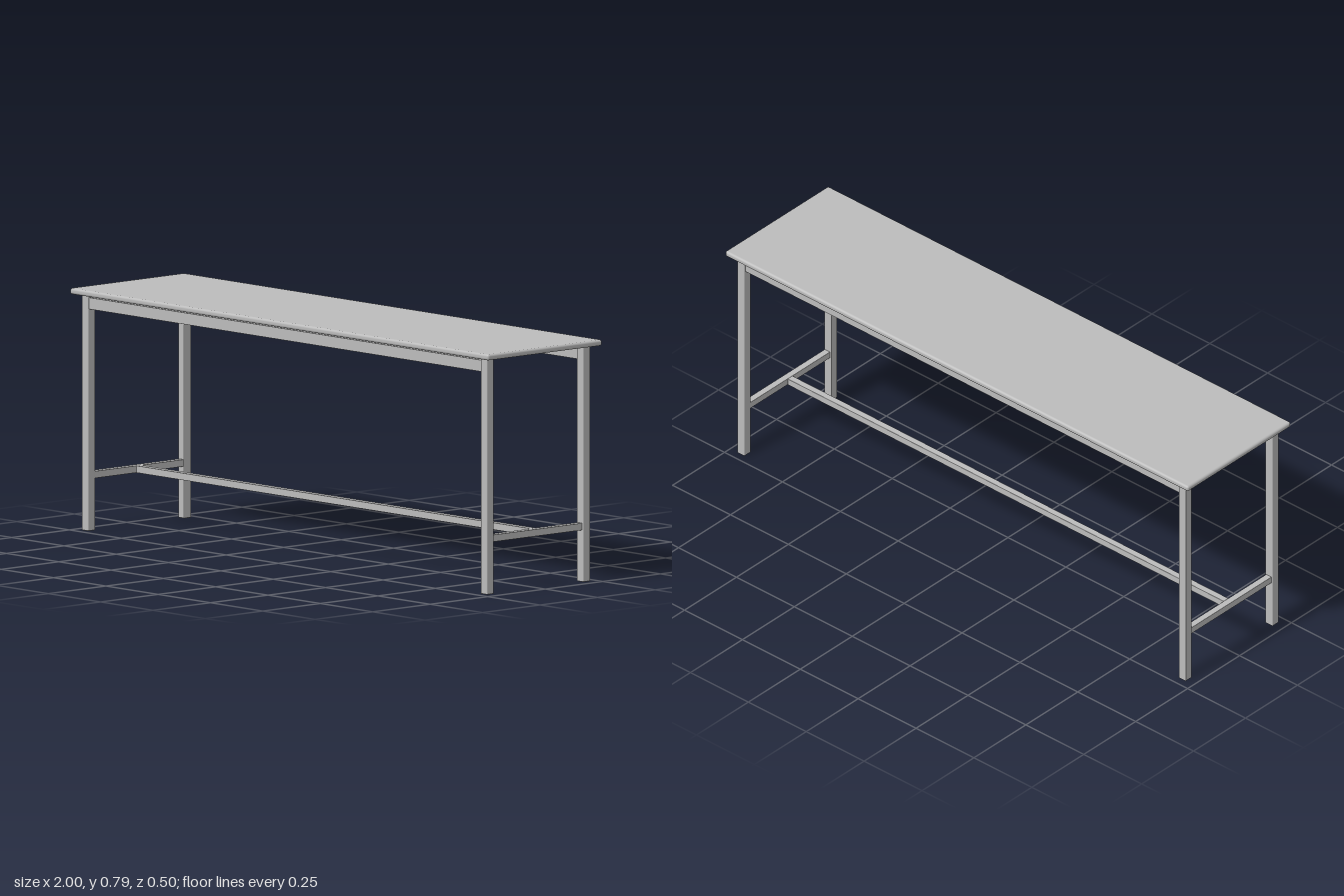
import * as THREE from 'three';
import { RoundedBoxGeometry } from 'three/addons/geometries/RoundedBoxGeometry.js';

export function createModel() {
  const table = new THREE.Group();
  table.name = 'table';
  const grey = new THREE.MeshStandardMaterial({ color: 0xbcbcbc });
  grey.name = 'light grey';

  // Box with softened edges, given by its size and centre
  function bar(name, [w, h, d], [x, y, z], radius) {
    const mesh = new THREE.Mesh(new RoundedBoxGeometry(w, h, d, 4, radius), grey);
    mesh.name = name;
    mesh.position.set(x, y, z);
    table.add(mesh);
  }

  const legX = 0.953, legZ = 0.209, legW = 0.031;
  const topBottom = 0.766, topHeight = 0.02;
  const stretcherY = 0.18, stretcherW = 0.023;
  const side = (s, a, b) => (s > 0 ? a : b);

  // Top with rounded rim
  bar('tableTop', [2, topHeight, 0.498], [0, topBottom + topHeight / 2, 0], 0.008);

  // Four legs
  for (const sx of [-1, 1]) {
    for (const sz of [-1, 1]) {
      bar(side(sz, 'front', 'back') + side(sx, 'Left', 'Right') + 'Leg',
        [legW, topBottom, legW], [sx * legX, topBottom / 2, sz * legZ], 0.003);
    }
  }

  // Long rails just under the top, between the legs
  for (const sz of [-1, 1]) {
    bar(side(sz, 'frontRail', 'backRail'),
      [2 * legX - legW, 0.038, stretcherW], [0, 0.74, sz * legZ], 0.001);
  }

  // Low H-shaped stretcher
  for (const sx of [-1, 1]) {
    bar(side(sx, 'leftStretcher', 'rightStretcher'),
      [stretcherW, stretcherW, 2 * legZ - legW], [sx * legX, stretcherY, 0], 0.001);
  }
  bar('longStretcher', [2 * legX - stretcherW, stretcherW, stretcherW], [0, stretcherY, 0], 0.001);

  return table;
}
